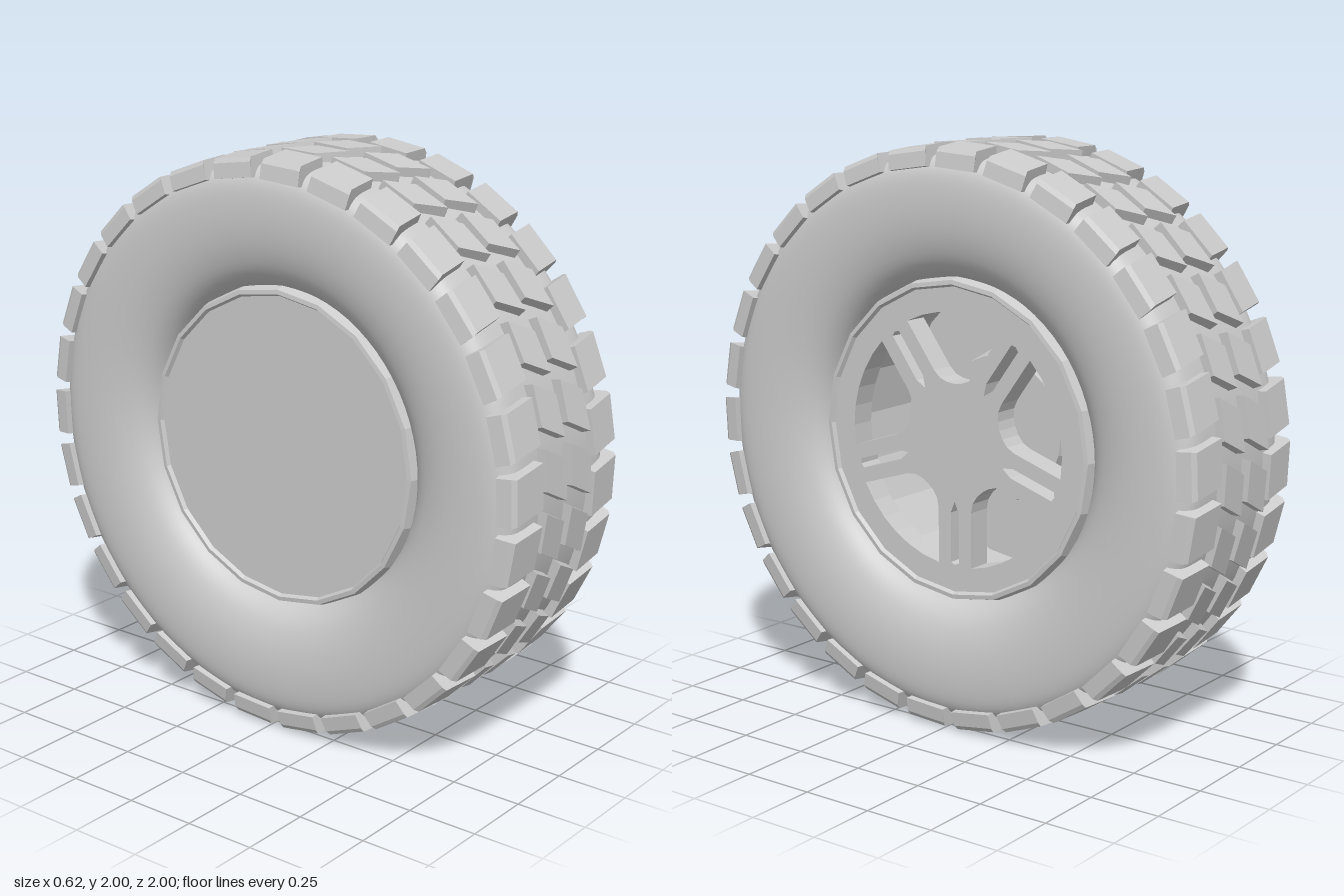
import * as THREE from 'three';
import { mergeGeometries } from 'three/addons/utils/BufferGeometryUtils.js';

const RAD = Math.PI / 180;
const smooth = new THREE.MeshStandardMaterial({ color: 0xcccccc, side: THREE.DoubleSide });
const flat = new THREE.MeshStandardMaterial({ color: 0xcccccc, flatShading: true, side: THREE.DoubleSide });

function addMesh(parent, name, geometry, material) {
  const mesh = new THREE.Mesh(geometry, material);
  mesh.name = name;
  parent.add(mesh);
  return mesh;
}

// Revolve [radius, x] points around the wheel axle
function revolve(points, segments) {
  const geo = new THREE.LatheGeometry(points.map(([r, x]) => new THREE.Vector2(r, x)), segments);
  return geo.rotateZ(-Math.PI / 2);
}

// Point on the wheel face, angle measured clockwise from the top
const polar = (r, deg) => new THREE.Vector2(r * Math.sin(deg * RAD), r * Math.cos(deg * RAD));

// One ring of tread blocks: [x, radius] section, slanted along the circumference
function treadRow({ section, length, slope, phase, flip }) {
  const count = 30;
  const block = new THREE.ExtrudeGeometry(
    new THREE.Shape(section.map(p => new THREE.Vector2(...p))),
    { depth: length, bevelEnabled: false });
  block.translate(0, 0, -length / 2);
  const pos = block.attributes.position;
  const middle = (section[0][0] + section[2][0]) / 2;
  for (let i = 0; i < pos.count; i++) {
    const taper = pos.getY(i) > 0.98 ? 0.96 : 1;
    pos.setZ(i, pos.getZ(i) * taper - slope * (pos.getX(i) - middle));
  }
  if (flip) block.rotateY(Math.PI);
  const blocks = [];
  for (let i = 0; i < count; i++) {
    const elevation = phase + i * 360 / count;
    blocks.push(block.clone().rotateX((90 - elevation) * RAD));
  }
  const merged = mergeGeometries(blocks);
  merged.computeVertexNormals();
  return merged;
}

function buildTire(wheel) {
  const tire = new THREE.Group();
  tire.name = 'tire';
  wheel.add(tire);

  // Carcass: bulging sidewalls and a nearly flat crown
  const half = [
    [0.55, 0.19], [0.575, 0.235], [0.62, 0.272], [0.69, 0.297], [0.77, 0.308],
    [0.85, 0.307], [0.91, 0.296], [0.945, 0.272], [0.963, 0.235], [0.968, 0.15]];
  const control = [
    ...half.map(([r, x]) => [r, -x]), [0.968, 0], ...half.slice().reverse()
  ].map(p => new THREE.Vector2(...p));
  const profile = new THREE.SplineCurve(control).getPoints(60).map(p => [p.x, p.y]);
  addMesh(tire, 'tireBody', revolve(profile, 72), smooth);

  // Tread: shoulder blocks wrap over the edge, centre blocks slant the other way
  const shoulder = [
    [0.155, 0.95], [0.27, 0.92], [0.311, 0.925], [0.303, 0.975], [0.292, 0.99], [0.155, 0.997]];
  const centre = [[0.018, 0.95], [0.132, 0.95], [0.132, 0.997], [0.018, 0.997]];
  const rows = [
    ['leftShoulderBlocks', { section: shoulder, length: 0.158, slope: 0.16, phase: -2.5 }],
    ['rightShoulderBlocks', { section: shoulder, length: 0.158, slope: 0.16, phase: 2.5, flip: true }],
    ['leftCentreBlocks', { section: centre, length: 0.143, slope: -0.5, phase: 3 }],
    ['rightCentreBlocks', { section: centre, length: 0.143, slope: -0.5, phase: 4, flip: true }]];
  for (const [name, spec] of rows) addMesh(tire, name, treadRow(spec), flat);
}

// Five-spoke face with a window between spokes and a pointed slot in each spoke
function spokeFace(sides, radius, depth) {
  const outline = [];
  for (let i = 0; i < sides; i++) outline.push(polar(radius, i * 360 / sides));
  const face = new THREE.Shape(outline);
  const local = (points, deg) => points.map(([x, y]) =>
    new THREE.Vector2(x, y).rotateAround(new THREE.Vector2(), -deg * RAD));

  for (let k = 0; k < 5; k++) {
    const turn = k * 72;
    const rim = [-27, -18, -9, 0, 9, 18, 27].map(a => polar(0.44, a)).map(p => [p.x, p.y]);
    const hub = [[0.085, 0.235], [0.06, 0.212], [0.03, 0.201], [0, 0.198],
      [-0.03, 0.201], [-0.06, 0.212], [-0.085, 0.235]];
    face.holes.push(new THREE.Path(local([...rim, ...hub], turn)));

    const slot = [[0, 0.21], [0.017, 0.25], [0.017, 0.425], [0, 0.432], [-0.017, 0.425], [-0.017, 0.25]];
    face.holes.push(new THREE.Path(local(slot, turn + 36)));
  }
  return new THREE.ExtrudeGeometry(face, { depth, bevelEnabled: false }).rotateY(Math.PI / 2);
}

function buildRim(wheel) {
  const rim = new THREE.Group();
  rim.name = 'rim';
  wheel.add(rim);
  const sides = 20;

  // Hollow barrel with a raised lip at both ends
  const barrel = [
    [0.525, -0.222], [0.535, -0.238], [0.55, -0.236], [0.56, -0.2],
    [0.56, 0.2], [0.55, 0.236], [0.535, 0.238], [0.525, 0.222], [0.525, -0.222]];
  addMesh(rim, 'barrel', revolve(barrel, sides), flat);

  addMesh(rim, 'spokeFace', spokeFace(sides, 0.527, 0.09), flat).position.x = 0.135;

  // Closed inner side
  const back = new THREE.CylinderGeometry(0.527, 0.527, 0.03, sides).rotateZ(-Math.PI / 2);
  addMesh(rim, 'backDisc', back, flat).position.x = -0.21;

  // Tapered hub seen through the windows
  const hub = new THREE.CylinderGeometry(0.255, 0.285, 0.16, 24).rotateZ(-Math.PI / 2);
  addMesh(rim, 'hub', hub, flat).position.x = -0.115;
}

export function createModel() {
  const model = new THREE.Group();
  model.name = 'wheel';
  const wheel = new THREE.Group();
  wheel.name = 'wheelAssembly';
  wheel.position.y = 1;
  model.add(wheel);
  buildTire(wheel);
  buildRim(wheel);
  return model;
}
